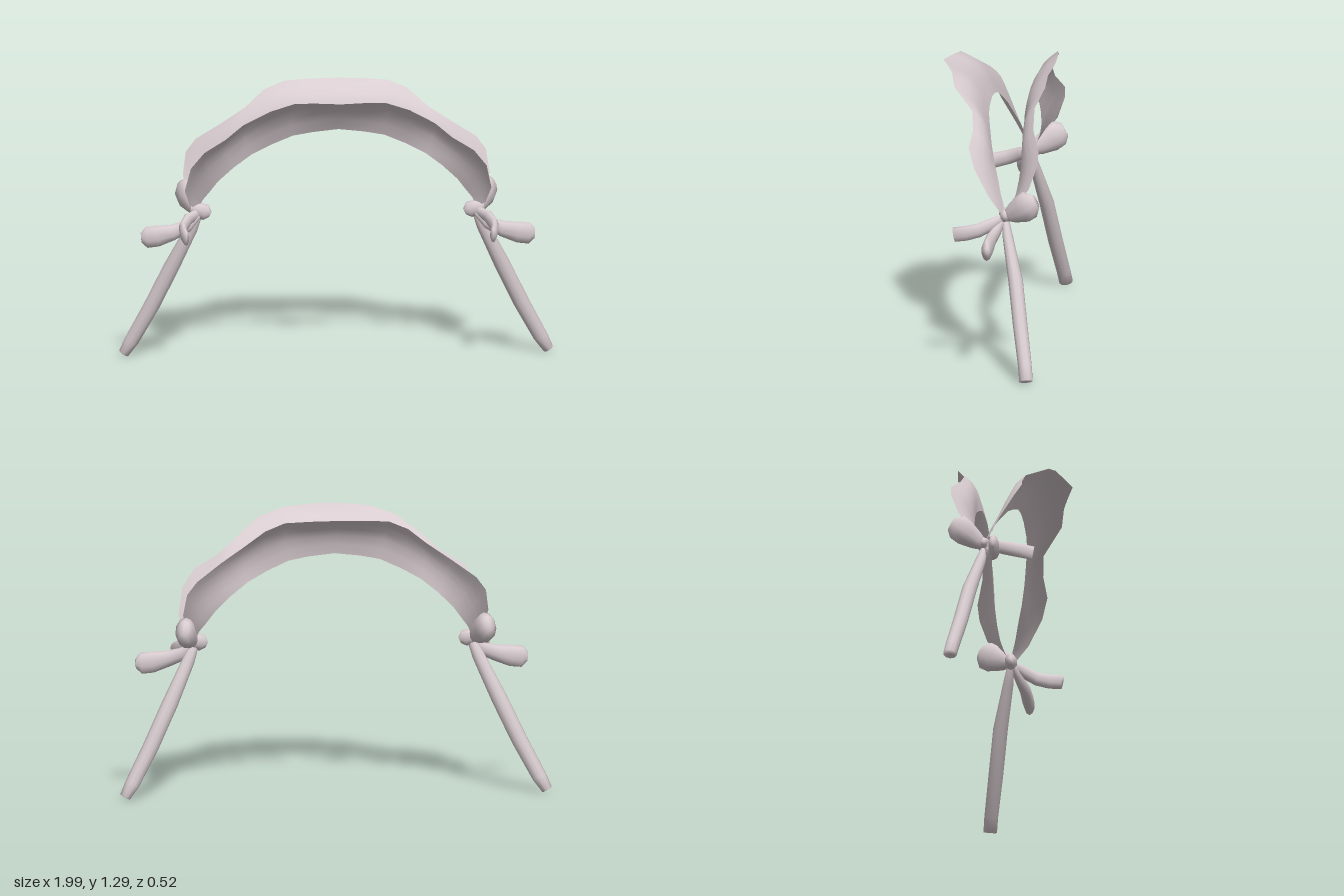
import * as THREE from 'three';

const fabric = new THREE.MeshStandardMaterial({ color: 0xd8ccd0, side: THREE.DoubleSide });
const V = (a) => new THREE.Vector3(...a);

function buildMesh(name, pos, idx) {
  const g = new THREE.BufferGeometry();
  g.setAttribute('position', new THREE.Float32BufferAttribute(pos, 3));
  g.setIndex(idx);
  g.computeVertexNormals();
  const m = new THREE.Mesh(g, fabric);
  m.name = name;
  return m;
}

// Ruffle: strip between an inner and outer edge, mirrored in x, cupped across its width.
// Each half row is [inner x, y, z, outer x, y, z], from the crown to the knot.
function ruffle(name, half, cupY, cupZ) {
  const mirrored = half.slice(1).reverse().map(([a, b, c, d, e, f]) => [-a, b, c, -d, e, f]);
  const cols = [...mirrored, ...half];
  const steps = 5, pos = [], idx = [];
  cols.forEach((c, i) => {
    const inner = V(c.slice(0, 3)), outer = V(c.slice(3));
    const fade = 1 - Math.abs(i / (cols.length - 1) * 2 - 1) ** 2;
    const out = new THREE.Vector3(inner.x, inner.y - 0.6, 0).normalize().multiplyScalar(cupY);
    out.z = cupZ;
    for (let j = 0; j <= steps; j++) {
      const t = j / steps;
      const p = inner.clone().lerp(outer, t).addScaledVector(out, Math.sin(Math.PI * t) * fade);
      pos.push(p.x, p.y, p.z);
      if (i && j) {
        const k = i * (steps + 1) + j, l = k - steps - 1;
        idx.push(l - 1, k - 1, k, l - 1, k, l);
      }
    }
  });
  return buildMesh(name, pos, idx);
}

// Ribbon: oval sections [x, y, z, halfWidth, halfThickness] along a path;
// the width lies along the hint direction. side = -1 mirrors it.
function ribbon(name, sections, hint, side, n = 10) {
  const pos = [], idx = [], last = sections.length - 1;
  const centre = sections.map((s) => V(s.slice(0, 3)));
  sections.forEach((s, i) => {
    const t = centre[Math.min(i + 1, last)].clone().sub(centre[Math.max(i - 1, 0)]).normalize();
    const b = t.clone().cross(V(hint)).normalize();
    const a = b.clone().cross(t);
    for (let j = 0; j < n; j++) {
      const w = j / n * Math.PI * 2;
      const p = centre[i].clone().addScaledVector(a, Math.cos(w) * s[3]).addScaledVector(b, Math.sin(w) * s[4]);
      pos.push(p.x * side, p.y, p.z);
      if (i < last) {
        const k = i * n + j, l = i * n + (j + 1) % n;
        idx.push(k, k + n, l, l, k + n, l + n);
      }
    }
  });
  // end caps
  [0, last].forEach((i) => {
    const c = pos.length / 3;
    pos.push(centre[i].x * side, centre[i].y, centre[i].z);
    for (let j = 0; j < n; j++) {
      const k = i * n + j, l = i * n + (j + 1) % n;
      idx.push(...(i ? [c, l, k] : [c, k, l]));
    }
  });
  // orient faces outward
  if (side > 0) idx.reverse();
  return buildMesh(name, pos, idx);
}

export function createModel() {
  const model = new THREE.Group();
  model.name = 'ruffledHeadband';

  model.add(ruffle('frontRuffle', [
    [0, 1.125, 0.035, 0, 1.295, 0.26],
    [0.12, 1.112, 0.035, 0.12, 1.292, 0.225],
    [0.21, 1.095, 0.03, 0.21, 1.285, 0.2],
    [0.31, 1.05, 0.015, 0.32, 1.245, 0.18],
    [0.4, 1.0, 0, 0.44, 1.16, 0.085],
    [0.48, 0.935, -0.02, 0.52, 1.09, 0.075],
    [0.55, 0.865, -0.045, 0.62, 1.03, 0.085],
    [0.59, 0.81, -0.06, 0.68, 0.95, 0.055],
    [0.62, 0.77, -0.075, 0.705, 0.83, -0.01],
    [0.64, 0.72, -0.085, 0.68, 0.75, -0.06],
  ], 0.03, -0.02));

  model.add(ruffle('backRuffle', [
    [0, 1.125, -0.132, 0, 1.297, -0.26],
    [0.12, 1.112, -0.133, 0.12, 1.295, -0.257],
    [0.21, 1.095, -0.135, 0.24, 1.288, -0.245],
    [0.31, 1.05, -0.14, 0.33, 1.25, -0.24],
    [0.4, 1.0, -0.145, 0.42, 1.175, -0.2],
    [0.48, 0.935, -0.145, 0.53, 1.1, -0.205],
    [0.55, 0.865, -0.14, 0.645, 1.02, -0.24],
    [0.59, 0.81, -0.13, 0.69, 0.96, -0.235],
    [0.62, 0.77, -0.115, 0.705, 0.86, -0.2],
    [0.64, 0.72, -0.09, 0.68, 0.75, -0.11],
  ], 0.02, 0.025));

  for (const side of [1, -1]) {
    const bow = new THREE.Group();
    bow.name = side > 0 ? 'leftBow' : 'rightBow';

    bow.add(ribbon('knot', [
      [0.585, 0.7, -0.085, 0.015, 0.012], [0.605, 0.71, -0.085, 0.038, 0.026],
      [0.64, 0.72, -0.085, 0.038, 0.03], [0.675, 0.725, -0.085, 0.02, 0.018],
    ], [0, 1, 0], side));

    // long hanging tail
    bow.add(ribbon('longTail', [
      [0.635, 0.71, -0.085, 0.018, 0.015], [0.67, 0.63, -0.1, 0.029, 0.024],
      [0.76, 0.44, -0.145, 0.037, 0.034], [0.85, 0.25, -0.175, 0.037, 0.034],
      [0.94, 0.08, -0.205, 0.034, 0.032], [0.975, 0.02, -0.213, 0.025, 0.032],
    ], [1, 0, 0], side));

    // loop pointing outward
    bow.add(ribbon('sideLoop', [
      [0.64, 0.7, -0.075, 0.018, 0.015], [0.69, 0.655, -0.05, 0.03, 0.02],
      [0.76, 0.63, -0.03, 0.038, 0.025], [0.83, 0.615, -0.025, 0.05, 0.026],
      [0.88, 0.61, -0.022, 0.05, 0.024], [0.905, 0.608, -0.022, 0.022, 0.015],
    ], [0, 1, 0], side));

    // short tail pointing forward
    bow.add(ribbon('shortTail', [
      [0.64, 0.71, -0.08, 0.02, 0.015], [0.69, 0.69, -0.03, 0.03, 0.02],
      [0.715, 0.665, 0.03, 0.033, 0.02], [0.715, 0.65, 0.09, 0.035, 0.018],
      [0.705, 0.64, 0.145, 0.034, 0.014],
    ], [0, 1, 0], side));

    // rounded loop at the back
    bow.add(ribbon('backLoop', [
      [0.64, 0.715, -0.085, 0.022, 0.018], [0.66, 0.735, -0.12, 0.045, 0.03],
      [0.685, 0.765, -0.17, 0.066, 0.042], [0.7, 0.79, -0.205, 0.066, 0.042],
      [0.705, 0.805, -0.232, 0.035, 0.025],
    ], [0, 1, 0], side));

    model.add(bow);
  }
  return model;
}
